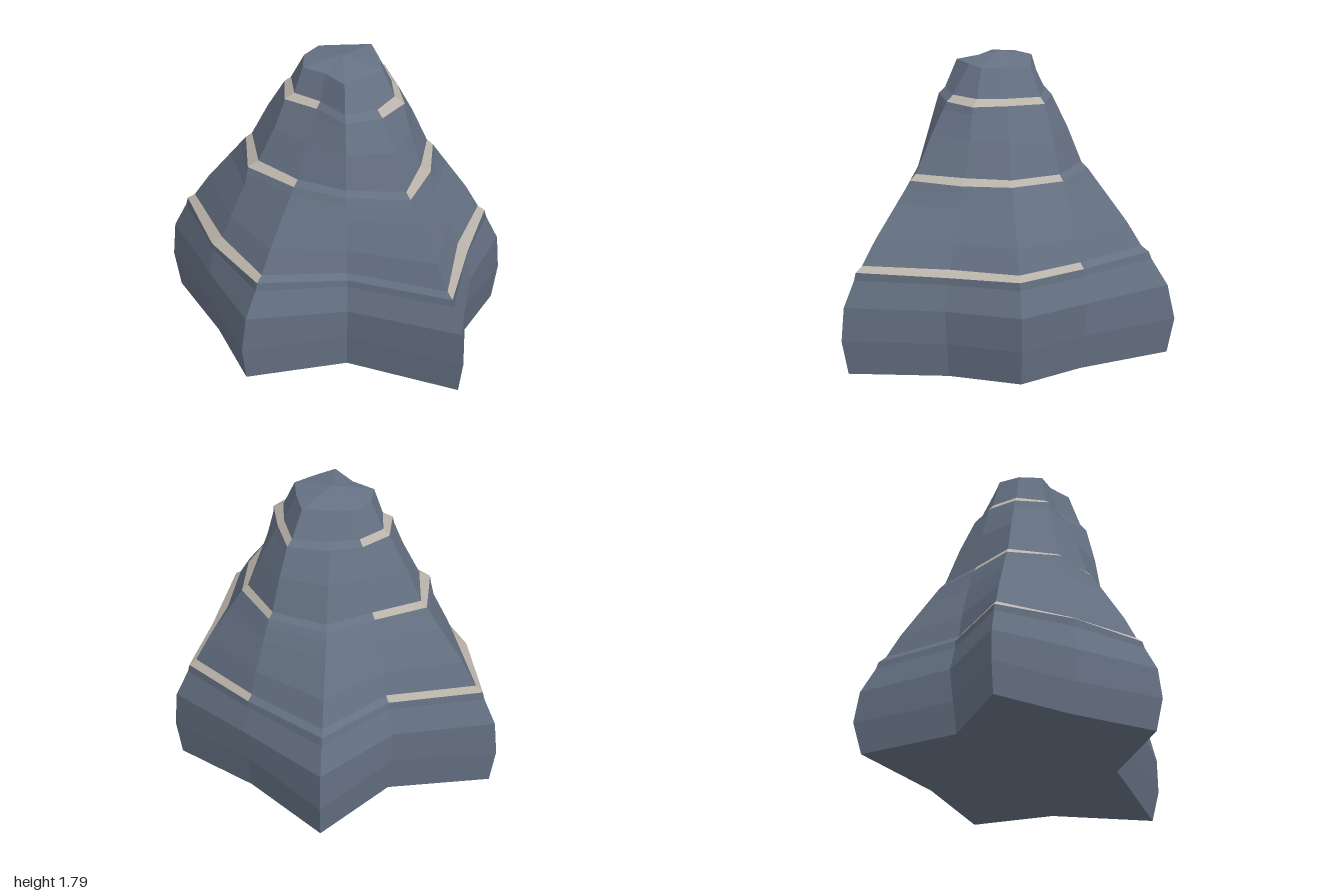
import * as THREE from 'three';

const CENTER = 0.045; // the peak sits slightly off the middle in x and z
const LEDGES = [0.6, 1.1, 1.54];
const STATIONS = [0.2, 0.6, 1.1, 1.54, 1.745];

// Star corners: angle in degrees, radius at each station, ledge overhang
const CORNERS = [
  { angle: 0, r: [0.76, 0.74, 0.51, 0.35, 0.25], lip: 0.035 },
  { angle: 31.6, r: [1.12, 1.02, 0.63, 0.37, 0.21], lip: 0 },
  { angle: 68, r: [0.56, 0.58, 0.47, 0.35, 0.245], lip: 0 },
  { angle: 110, r: [0.93, 0.79, 0.45, 0.24, 0.16], lip: 0 },
  { angle: 147.5, r: [0.78, 0.75, 0.535, 0.315, 0.24], lip: 0.035 },
  { angle: 180, r: [1.045, 0.96, 0.6, 0.36, 0.24], lip: 0 },
  { angle: 213, r: [0.62, 0.6, 0.45, 0.32, 0.23], lip: 0 },
  { angle: 250, r: [1.03, 0.88, 0.52, 0.31, 0.19], lip: 0 },
  { angle: 291, r: [0.7, 0.7, 0.53, 0.38, 0.26], lip: 0 },
  { angle: 328, r: [0.93, 0.85, 0.54, 0.33, 0.22], lip: 0 },
];
// Sides whose ledges are pale: three on the left of the front, three on the right
const PALE_SIDES = [3, 4, 5, 8, 9, 0];

// Wall radius of a corner at height y
function wallRadius(r, y) {
  if (y < 0.2) return r[0] * (0.955 + y * 0.225);
  let k = 0;
  while (k < STATIONS.length - 2 && y > STATIONS[k + 1]) k++;
  const t = (y - STATIONS[k]) / (STATIONS[k + 1] - STATIONS[k]);
  return THREE.MathUtils.lerp(r[k], r[k + 1], t) + (y === 0.4 ? 0.035 : 0);
}

// One star-shaped ring; a ledge edge stands out, the ring above it steps back in
function makeRing({ y, kind }) {
  return CORNERS.map(({ angle, r, lip }) => {
    let radius = wallRadius(r, y);
    if (kind === 'under') radius += lip * 0.6;
    if (kind === 'edge') radius += lip;
    if (kind === 'step') radius += lip * 0.2 - 0.018;
    const a = THREE.MathUtils.degToRad(angle);
    return new THREE.Vector3(CENTER + radius * Math.cos(a), y, CENTER + radius * Math.sin(a));
  });
}

// Adds one flat-shaded facet with three or four corners
function addFacet(target, ...corners) {
  const [a, b, c, d = a] = corners;
  const normal = c.clone().sub(a).cross(d.clone().sub(b)).normalize();
  const points = corners.length === 4 ? [a, b, c, a, c, d] : [a, b, c];
  for (const p of points) {
    target.points.push(p);
    target.normals.push(...normal.toArray());
  }
}

function facetedMesh({ points, normals }, material, name) {
  const geometry = new THREE.BufferGeometry().setFromPoints(points);
  geometry.setAttribute('normal', new THREE.Float32BufferAttribute(normals, 3));
  const mesh = new THREE.Mesh(geometry, material);
  mesh.name = name;
  return mesh;
}

export function createModel() {
  const group = new THREE.Group();
  group.name = 'rockSpire';
  const rock = new THREE.MeshStandardMaterial({ color: 0x667284 });
  rock.name = 'slate rock';
  const pale = new THREE.MeshStandardMaterial({ color: 0xbab3aa });
  pale.name = 'pale ledge';

  // Ring heights from the ground up, with an underside, edge and step at each ledge
  const levels = [0, 0.2, 0.4, 0.78, 0.97, 1.35, 1.745].map((y) => ({ y, kind: 'wall' }));
  for (const y of LEDGES) {
    levels.push({ y: y - 0.045, kind: 'under' }, { y, kind: 'edge' }, { y: y + 0.036, kind: 'step' });
  }
  levels.sort((a, b) => a.y - b.y);
  const rings = levels.map(makeRing);

  const n = CORNERS.length;
  const body = { points: [], normals: [] };
  const ledges = LEDGES.map(() => ({ points: [], normals: [] }));

  // Walls between neighbouring rings
  for (let k = 0; k < rings.length - 1; k++) {
    for (let i = 0; i < n; i++) {
      const j = (i + 1) % n;
      const isPale = levels[k].kind === 'edge' && PALE_SIDES.includes(i);
      const target = isPale ? ledges[LEDGES.indexOf(levels[k].y)] : body;
      addFacet(target, rings[k][i], rings[k + 1][i], rings[k + 1][j], rings[k][j]);
    }
  }

  // Low peak and flat underside
  const peak = new THREE.Vector3(CENTER, 1.795, CENTER);
  const foot = new THREE.Vector3(CENTER, 0, CENTER);
  const top = rings[rings.length - 1];
  for (let i = 0; i < n; i++) {
    const j = (i + 1) % n;
    addFacet(body, top[i], peak, top[j]);
    addFacet(body, rings[0][i], rings[0][j], foot);
  }

  group.add(facetedMesh(body, rock, 'rockBody'));
  ['lowerLedge', 'middleLedge', 'upperLedge'].forEach((name, k) => {
    group.add(facetedMesh(ledges[k], pale, name));
  });
  return group;
}
